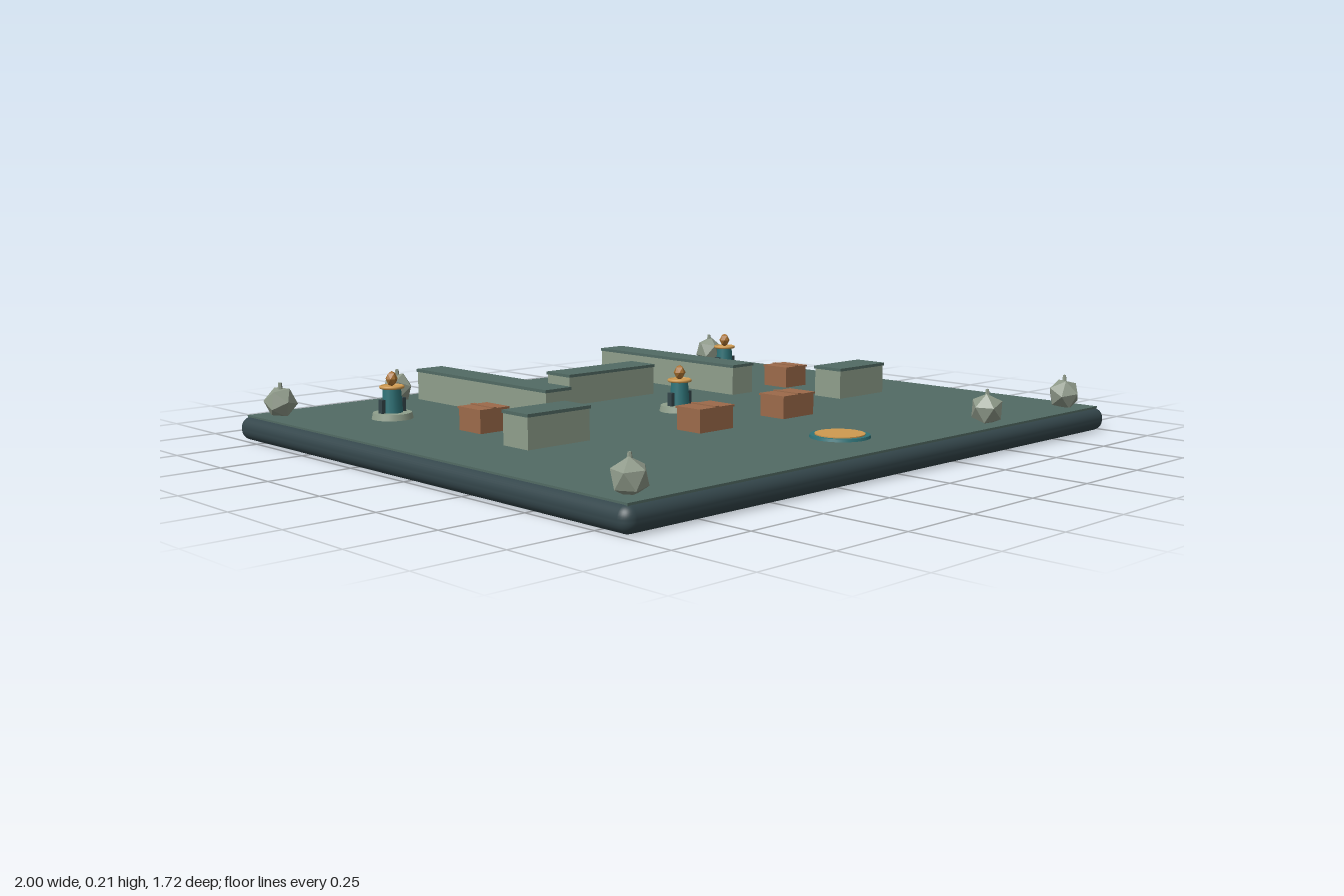
import * as THREE from 'three';
import { RoundedBoxGeometry } from 'three/addons/geometries/RoundedBoxGeometry.js';

const mat = (name, color, flatShading = false) => {
  const m = new THREE.MeshStandardMaterial({ color, flatShading });
  m.name = name;
  return m;
};

export function createModel() {
  const root = new THREE.Group();
  root.name = 'courtyardBoard';
  const slate = mat('slate', 0x34464b);
  const moss = mat('moss', 0x526b64);
  const sage = mat('sage', 0x8f9f8c);
  const stone = mat('stone', 0x8f9a8a, true);
  const rust = mat('rust', 0x9c6a4a);
  const teal = mat('teal', 0x2f7378);
  const gold = mat('gold', 0xcf9a50);
  const bronze = mat('bronze', 0xa8702f, true);

  const add = (parent, name, geo, material, x, y, z) => {
    const m = new THREE.Mesh(geo, material);
    m.name = name;
    m.position.set(x, y, z);
    parent.add(m);
    return m;
  };
  const box = (w, h, d) => new THREE.BoxGeometry(w, h, d);
  const cyl = (rt, rb, h, n = 24) => new THREE.CylinderGeometry(rt, rb, h, n);
  const group = (name, x, z) => {
    const g = new THREE.Group();
    g.name = name;
    g.position.set(x, 0.074, z);
    root.add(g);
    return g;
  };

  // Board with rounded rim and floor
  add(root, 'base', new RoundedBoxGeometry(2, 0.07, 1.716, 4, 0.032), slate, 0, 0.035, 0);
  add(root, 'floor', box(1.955, 0.012, 1.675), moss, 0, 0.068, 0);

  // Walls with thin caps
  const wall = (x, z, w, d) => {
    const g = group('wall', x, z);
    add(g, 'wallBody', box(w - 0.006, 0.09, d - 0.006), sage, 0, 0.045, 0);
    add(g, 'wallCap', box(w, 0.009, d), moss, 0, 0.092, 0);
  };
  wall(0, -0.355, 0.36, 0.11);

  // Crates with lid and straps
  const crate = (x, z, w, d) => {
    const g = group('crate', x, z);
    add(g, 'crateBody', box(w - 0.006, 0.064, d - 0.006), rust, 0, 0.032, 0);
    add(g, 'crateLid', box(w, 0.006, d), rust, 0, 0.065, 0);
    add(g, 'crateStrap', box(0.014, 0.004, d), rust, 0, 0.069, 0);
  };

  for (const s of [-1, 1]) {
    wall(s * 0.388, -0.423, 0.097, 0.64);
    wall(s * 0.632, 0.138, 0.22, 0.11);
    crate(s * 0.632, -0.14, 0.103, 0.103);
    crate(s * 0.173, 0.28, 0.138, 0.098);
  }

  // Beacon towers
  for (const [x, z] of [[-0.7, -0.49], [0.7, -0.49], [0, 0]]) {
    const g = group('beacon', x, z);
    add(g, 'beaconFoot', cyl(0.057, 0.061, 0.018), sage, 0, 0.009, 0);
    add(g, 'beaconColumn', cyl(0.026, 0.031, 0.076, 12), teal, 0, 0.055, 0);
    for (const s of [-1, 1]) add(g, 'beaconFin', box(0.012, 0.04, 0.018), slate, s * 0.036, 0.038, 0);
    const ring = add(g, 'beaconRing', new THREE.TorusGeometry(0.032, 0.005, 8, 24), gold, 0, 0.093, 0);
    ring.rotation.x = Math.PI / 2;
    add(g, 'beaconPlate', cyl(0.03, 0.03, 0.006), gold, 0, 0.093, 0);
    const gem = add(g, 'beaconFlame', new THREE.OctahedronGeometry(0.018, 1), bronze, 0, 0.117, 0);
    gem.scale.y = 1.25;
  }

  // Faceted boulders with short spikes
  const rocks = [[-0.905, -0.77], [-0.49, -0.773], [0.905, -0.77],
    [-0.905, 0.765], [0.49, 0.77], [0.905, 0.765]];
  rocks.forEach(([x, z], i) => {
    const g = group('boulder', x, z);
    const rock = add(g, 'boulderBody', new THREE.IcosahedronGeometry(0.05, 0), stone, 0, 0.038, 0);
    rock.rotation.set(0.45, i * 0.6, 0.15);
    add(g, 'boulderSpike', cyl(0.005, 0.008, 0.022, 6), stone, 0, 0.086, 0);
  });

  // Round landing pad
  const pad = group('pad', 0, 0.63);
  add(pad, 'padRim', cyl(0.083, 0.085, 0.008, 32), teal, 0, 0.004, 0);
  add(pad, 'padTop', cyl(0.07, 0.07, 0.004, 32), gold, 0, 0.009, 0);

  return root;
}
